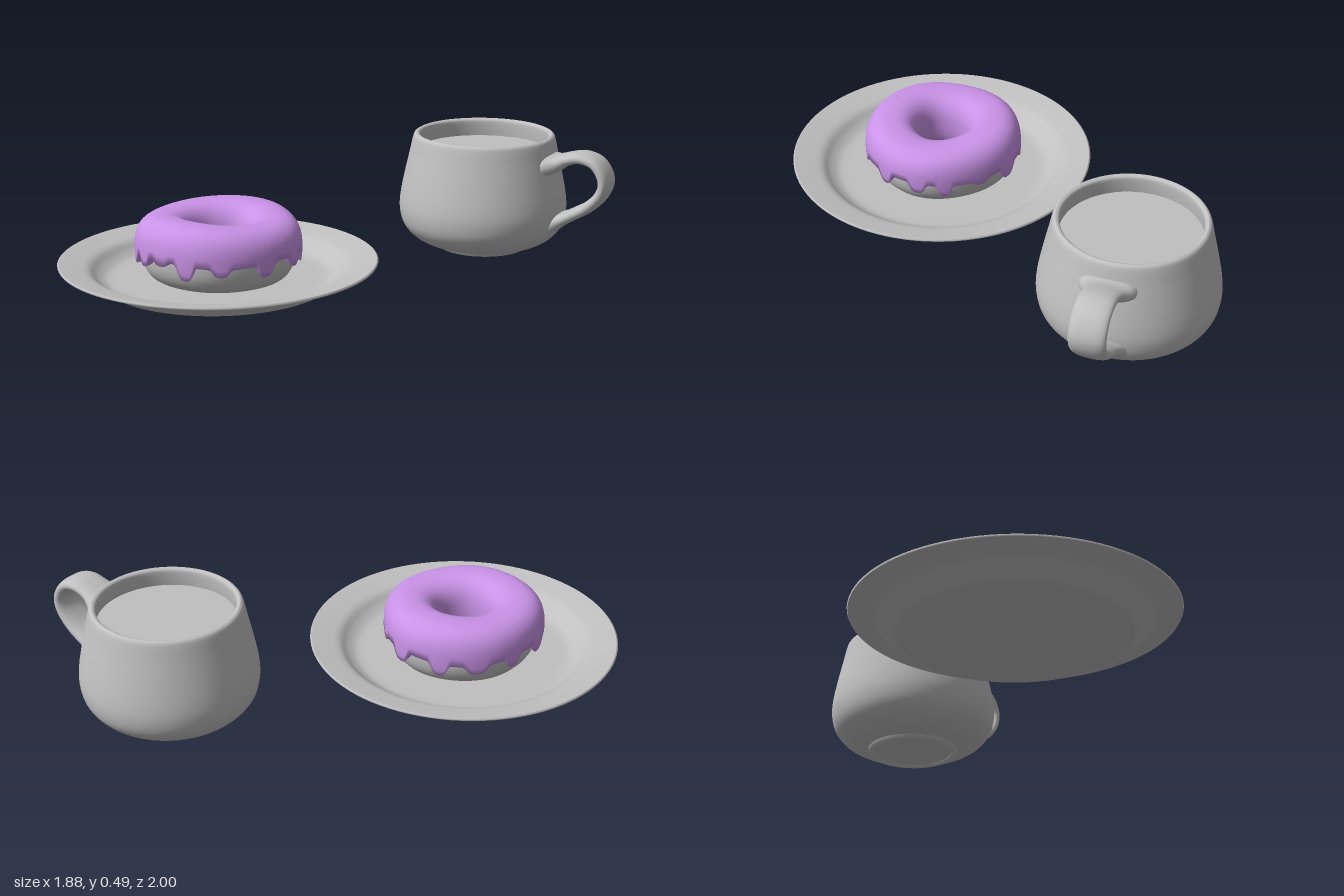
import * as THREE from 'three';

const TAU = Math.PI * 2;
const V2 = (p) => new THREE.Vector2(p[0], p[1]);

// Smooth skin through closed rings of points; optionally joins last ring to first
function loft(rings, closed) {
  const n = rings[0].length, m = rings.length, pos = [], idx = [];
  rings.forEach((r) => r.forEach((p) => pos.push(p[0], p[1], p[2])));
  for (let i = 0; i < (closed ? m : m - 1); i++) {
    for (let j = 0; j < n; j++) {
      const a = i * n + j, d = i * n + (j + 1) % n;
      const b = ((i + 1) % m) * n + j, c = ((i + 1) % m) * n + (j + 1) % n;
      idx.push(a, b, d, b, c, d);
    }
  }
  const g = new THREE.BufferGeometry();
  g.setAttribute('position', new THREE.Float32BufferAttribute(pos, 3));
  g.setIndex(idx);
  g.computeVertexNormals();
  return g;
}

const spline = (pts, n) => new THREE.SplineCurve(pts.map(V2)).getPoints(n);
const power = (v, e) => Math.sign(v) * Math.abs(v) ** e;

export function createModel() {
  const group = new THREE.Group();
  const ceramic = new THREE.MeshStandardMaterial({ color: 0xc0c0c0 });
  ceramic.name = 'grey';
  const purple = new THREE.MeshStandardMaterial({ color: 0xca93e8 });
  purple.name = 'purple icing';

  const add = (parent, name, geo, mat) => {
    const mesh = new THREE.Mesh(geo, mat);
    mesh.name = name;
    parent.add(mesh);
    return mesh;
  };

  // Plate: underside, thin rim, then the dished upper face
  const plate = new THREE.Group();
  plate.name = 'plate';
  plate.position.set(-0.315, 0, 0.37);
  group.add(plate);
  const under = spline([[0.425, 0.02], [0.45, 0.024], [0.485, 0.048], [0.52, 0.075], [0.56, 0.09], [0.625, 0.105]], 24);
  const upper = spline([[0.622, 0.115], [0.56, 0.103], [0.51, 0.09], [0.475, 0.062], [0.44, 0.044], [0.40, 0.04]], 24);
  const lathe = (pts, seg = 96) => new THREE.LatheGeometry(pts, seg);
  add(plate, 'plateBase', lathe([V2([0, 0.02]), V2([0.425, 0.02])]), ceramic);
  add(plate, 'plateUnderside', lathe(under), ceramic);
  add(plate, 'plateRim', lathe([[0.625, 0.105], [0.628, 0.111], [0.622, 0.115]].map(V2)), ceramic);
  add(plate, 'plateTop', lathe([...upper, V2([0, 0.04])]), ceramic);

  // Doughnut
  const donut = new THREE.Group();
  donut.name = 'doughnut';
  donut.position.set(-0.312, 0, 0.363);
  group.add(donut);

  const SEG = 288;
  // Point on a rounded ring section: phi 0 = outward, PI/2 = up
  const ringPoint = (th, phi, R, a, b, yc, e) => {
    const wobble = 1 + 0.012 * Math.sin(3 * th + 0.6) + 0.008 * Math.sin(5 * th + 2);
    const r = (R + a * power(Math.cos(phi), e)) * wobble;
    const s = power(Math.sin(phi), e);
    const y = yc + b * s + 0.007 * Math.max(0, s) * (-Math.cos(2 * th) - 1 - 0.7 * Math.cos(th));
    return [r * Math.cos(th), y, r * Math.sin(th)];
  };

  const doughRings = [];
  for (let i = 0; i < 96; i++) {
    const ring = [];
    for (let j = 0; j < 32; j++) ring.push(ringPoint(i / 96 * TAU, -j / 32 * TAU, 0.208, 0.092, 0.118, 0.157, 0.9));
    doughRings.push(ring);
  }
  add(donut, 'dough', loft(doughRings, true), ceramic);

  // Icing: shell over the dough whose lower edge runs down in drips
  // [angle in degrees, drop, half width in degrees]
  const drips = [[-76, 0.055, 7], [-50, 0.02, 6], [-22, 0.05, 5], [-2, 0.045, 6], [26, 0.052, 6], [58, 0.03, 6],
    [83, 0.06, 6], [103, 0.02, 6], [121, 0.035, 5], [138, 0.04, 6], [165, 0.05, 8], [197, 0.045, 6],
    [225, 0.035, 8], [252, 0.055, 6]];
  const edgeY = (th) => {
    let y = 0.166 + 0.006 * Math.sin(4 * th + 1);
    for (const [deg, drop, w] of drips) {
      let d = th * 180 / Math.PI - deg;
      d -= 360 * Math.round(d / 360);
      y -= drop * Math.exp(-((d / w) ** 4));
    }
    return y;
  };
  const icingRings = [], N = 26, E = 0.78;
  for (let i = 0; i < SEG; i++) {
    const th = i / SEG * TAU, ring = [];
    const end = Math.asin(power((edgeY(th) - 0.172) / 0.134, 1 / E));
    const start = Math.PI * 1.2;
    for (let j = 0; j <= N; j++) {
      ring.push(ringPoint(th, start + (end - start) * j / N, 0.217, 0.11, 0.134, 0.172, E));
    }
    for (let j = 8; j >= 0; j--) {
      ring.push(ringPoint(th, start + (end - start) * j / 8, 0.211, 0.083, 0.108, 0.172, E));
    }
    icingRings.push(ring);
  }
  add(donut, 'icing', loft(icingRings, true), purple);

  // Cup
  const cup = new THREE.Group();
  cup.name = 'cup';
  cup.position.set(0.37, 0, -0.65);
  group.add(cup);
  const wall = spline([[0.19, 0.014], [0.24, 0.027], [0.295, 0.057], [0.335, 0.105], [0.35, 0.165], [0.347, 0.23],
    [0.33, 0.32], [0.31, 0.41], [0.299, 0.462], [0.292, 0.483], [0.282, 0.49]], 48);
  const inside = spline([[0.282, 0.49], [0.272, 0.486], [0.267, 0.475], [0.268, 0.44], [0.272, 0.40]], 16);
  add(cup, 'cupBase', lathe([V2([0, 0.008]), V2([0.165, 0.008])]), ceramic);
  add(cup, 'footRing', lathe([[0.165, 0.008], [0.17, 0], [0.184, 0], [0.19, 0.014]].map(V2)), ceramic);
  add(cup, 'cupWall', lathe(wall), ceramic);
  add(cup, 'cupInside', lathe(inside), ceramic);
  const drink = new THREE.CircleGeometry(0.272, 96);
  drink.rotateX(-Math.PI / 2);
  add(cup, 'drinkSurface', drink, ceramic).position.y = 0.415;

  // Handle: flat oval section swept along an arch, flaring into the cup
  const path = new THREE.SplineCurve([[0.29, 0.385], [0.33, 0.395], [0.385, 0.42], [0.445, 0.431], [0.505, 0.41],
    [0.541, 0.35], [0.53, 0.29], [0.48, 0.232], [0.41, 0.188], [0.34, 0.15], [0.29, 0.125]].map(V2));
  const handleRings = [], H = 72;
  for (let i = 0; i <= H; i++) {
    const u = i / H, p = path.getPointAt(u), t = path.getTangentAt(u), ring = [];
    const flare = Math.exp(-(((p.x - 0.29) / 0.055) ** 2));
    const half = 0.07 + 0.04 * flare, thick = 0.024 + 0.02 * flare;
    for (let j = 0; j < 28; j++) {
      const a = j / 28 * TAU;
      const n = thick * power(Math.cos(a), 0.8), b = -half * power(Math.sin(a), 0.8);
      ring.push([p.x - t.y * n, p.y + t.x * n, b]);
    }
    handleRings.push(ring);
  }
  add(cup, 'handle', loft(handleRings, false), ceramic);

  return group;
}
